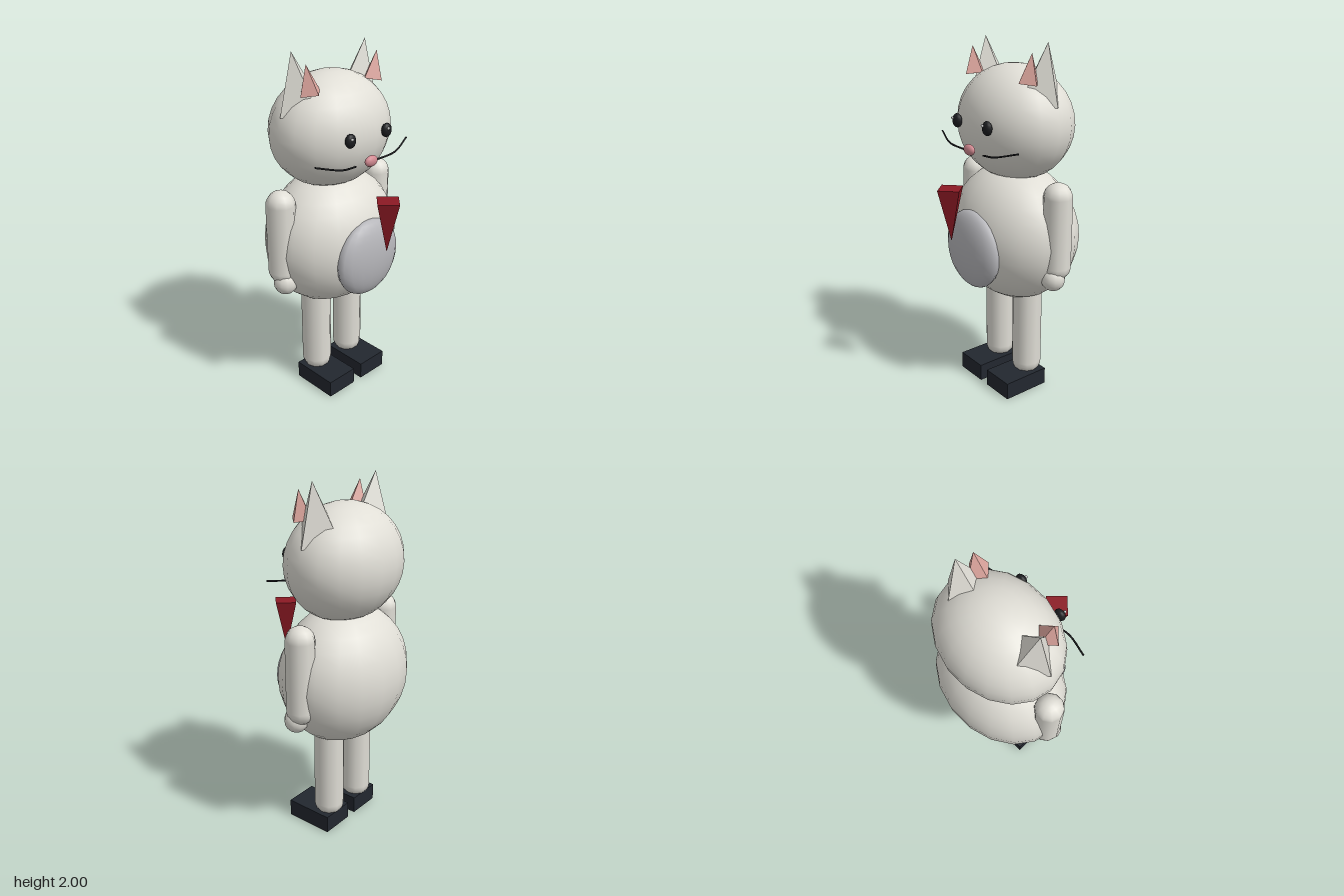
import * as THREE from 'three';

const mat = (color, flatShading = false) => new THREE.MeshStandardMaterial({ color, flatShading });

const fur = mat(0xe0ded6);
const furFlat = mat(0xe0ded6, true);
const bellyGrey = mat(0xb6b6ba);
const earPink = mat(0xe0a8a0, true);
const nosePink = mat(0xd08890);
const black = mat(0x1c1d20);
const white = mat(0xffffff);
const shoeDark = mat(0x22272f, true);
const tieRed = mat(0x8c1a24, true);

export function createModel() {
  const model = new THREE.Group();
  model.name = 'cat';

  const add = (name, geometry, material, x, y, z) => {
    const mesh = new THREE.Mesh(geometry, material);
    mesh.name = name;
    mesh.position.set(x, y, z);
    model.add(mesh);
    return mesh;
  };

  const ellipsoid = (name, material, [x, y, z], [rx, ry, rz], seg = 18, rings = 16) => {
    const geometry = new THREE.SphereGeometry(1, seg, rings);
    add(name, geometry, material, x, y, z).scale.set(rx, ry, rz);
  };

  // Capsule given by its lowest and highest points
  const limb = (name, x, z, r, bottom, top) =>
    add(name, new THREE.CapsuleGeometry(r, top - bottom - 2 * r, 6, 10), fur, x, (bottom + top) / 2, z);

  // Four-sided cone standing on its base centre, leaning sideways
  const ear = (name, material, r, h, [x, y, z], tilt) => {
    const geometry = new THREE.ConeGeometry(r, h, 4).translate(0, h / 2, 0);
    add(name, geometry, material, x, y, z).rotation.z = tilt;
  };

  // Trunk and head
  ellipsoid('body', fur, [0, 0.935, -0.097], [0.415, 0.395, 0.325]);
  ellipsoid('belly', bellyGrey, [0, 0.885, 0.195], [0.222, 0.222, 0.08]);
  ellipsoid('head', fur, [0, 1.56, -0.096], [0.365, 0.315, 0.291]);
  ellipsoid('nose', nosePink, [0, 1.447, 0.21], [0.044, 0.03, 0.021], 14, 10);

  // Pointed tie hanging in front of the chest
  add('tie', new THREE.ConeGeometry(0.082, 0.295, 4), tieRed, 0, 1.1125, 0.335).rotation.x = Math.PI;

  for (const s of [1, -1]) {
    const side = s > 0 ? 'left' : 'right';

    // Limbs
    limb(side + 'Arm', s * 0.365, -0.095, 0.08, 0.75, 1.297);
    ellipsoid(side + 'Paw', fur, [s * 0.372, 0.765, -0.068], [0.068, 0.07, 0.066], 12, 10);
    limb(side + 'Leg', s * 0.128, -0.093, 0.087, 0.063, 0.72);
    add(side + 'Shoe', new THREE.BoxGeometry(0.195, 0.1, 0.285), shoeDark, s * 0.128, 0.05, -0.015);

    // Ears with pink inner cones
    ear(side + 'Ear', furFlat, 0.137, 0.302, [s * 0.21, 1.702, -0.096], -s * 0.167);
    ear(side + 'InnerEar', earPink, 0.065, 0.15, [s * 0.226, 1.803, 0], -s * 0.167);

    // Eyes; both glints sit toward the same side
    ellipsoid(side + 'Eye', black, [s * 0.133, 1.58, 0.191], [0.033, 0.038, 0.023], 14, 10);
    ellipsoid(side + 'EyeGlint', white, [s * 0.133 - 0.01, 1.595, 0.214], [0.008, 0.008, 0.008], 8, 6);

    // Curved whisker
    const curve = new THREE.CatmullRomCurve3([
      new THREE.Vector3(s * 0.08, 1.427, 0.178),
      new THREE.Vector3(s * 0.2, 1.444, 0.194),
      new THREE.Vector3(s * 0.343, 1.483, 0.151),
    ]);
    const whisker = new THREE.TubeGeometry(curve, 16, 0.005, 6);
    add(side + 'Whisker', whisker, black, 0, 0, 0);
  }

  return model;
}
